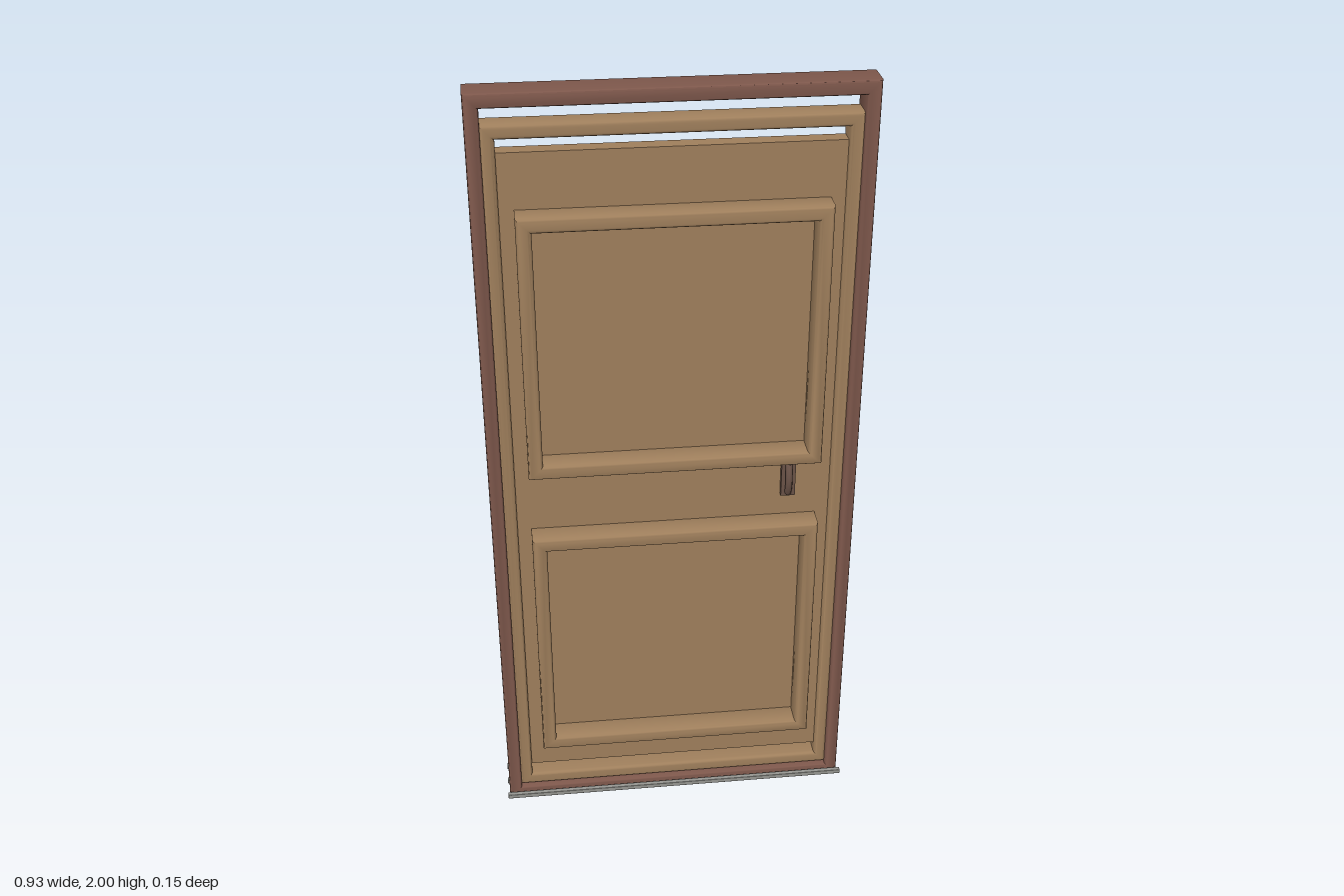
import * as THREE from 'three';
import { toCreasedNormals } from 'three/addons/utils/BufferGeometryUtils.js';
import { RoundedBoxGeometry } from 'three/addons/geometries/RoundedBoxGeometry.js';

const mat = (name, color) => {
  const m = new THREE.MeshStandardMaterial({ color });
  m.name = name;
  return m;
};

// Rectangle outline given by its centre height, half width and height range
const rect = (Type, x, y0, y1) => {
  const p = new Type();
  p.moveTo(-x, y0);
  p.lineTo(x, y0);
  p.lineTo(x, y1);
  p.lineTo(-x, y1);
  p.closePath();
  return p;
};

// Rectangular frame with rounded front and back edges
function frameGeometry(x, y0, y1, bar, z0, z1, bevel) {
  const shape = rect(THREE.Shape, x, y0, y1);
  shape.holes.push(rect(THREE.Path, x - bar, y0 + bar, y1 - bar));
  const geo = new THREE.ExtrudeGeometry(shape, {
    depth: z1 - z0 - 2 * bevel,
    bevelSize: bevel,
    bevelThickness: bevel,
    bevelOffset: -bevel,
    bevelSegments: 4,
  });
  geo.translate(0, 0, z0 + bevel);
  return toCreasedNormals(geo, 0.7);
}

export function createModel() {
  const model = new THREE.Group();
  model.name = 'door';
  const darkWood = mat('darkWood', 0x7d574b);
  const lightWood = mat('lightWood', 0x9f7f5c);
  const metal = mat('greyMetal', 0x969691);
  const bronze = mat('handleBronze', 0x6a5247);

  const add = (name, geo, material, x = 0, y = 0, z = 0, parent = model) => {
    const mesh = new THREE.Mesh(geo, material);
    mesh.name = name;
    mesh.position.set(x, y, z);
    parent.add(mesh);
    return mesh;
  };

  // Outer frame and the lighter frame inside it
  add('outerFrame', frameGeometry(0.46, 0, 2, 0.034, -0.049, 0.034, 0.008), darkWood);
  add('innerFrame', frameGeometry(0.429, 0.036, 1.926, 0.034, -0.04, 0.024, 0.01), lightWood);

  // Door leaf, with gaps above and below
  add('doorLeaf', new THREE.BoxGeometry(0.8, 1.76, 0.04), lightWood, 0, 0.98, -0.008);

  // Two raised mouldings on the front
  for (const [name, y0] of [['lowerMoulding', 0.198], ['upperMoulding', 1.05]]) {
    add(name, frameGeometry(0.361, y0, y0 + 0.676, 0.036, 0.005, 0.074, 0.01), lightWood);
  }

  // Handle: plate with a bowed grip
  const handle = new THREE.Group();
  handle.name = 'handle';
  model.add(handle);
  add('handlePlate', new THREE.BoxGeometry(0.036, 0.1, 0.016), bronze, 0.288, 0.985, 0.018, handle);
  const grip = new THREE.QuadraticBezierCurve3(
    new THREE.Vector3(0, -0.04, 0),
    new THREE.Vector3(0, 0, 0.02),
    new THREE.Vector3(0, 0.04, 0)
  );
  add('handleGrip', new THREE.TubeGeometry(grip, 12, 0.009, 8), bronze, 0.288, 0.985, 0.025, handle);

  // Threshold rails: in front, through the frame, and behind
  [['frontRail', 0.053], ['middleRail', -0.008], ['backRail', -0.068]].forEach(([name, z]) => {
    add(name, new RoundedBoxGeometry(0.93, 0.013, 0.013, 1, 0.002), metal, 0, 0.025, z);
  });

  return model;
}
